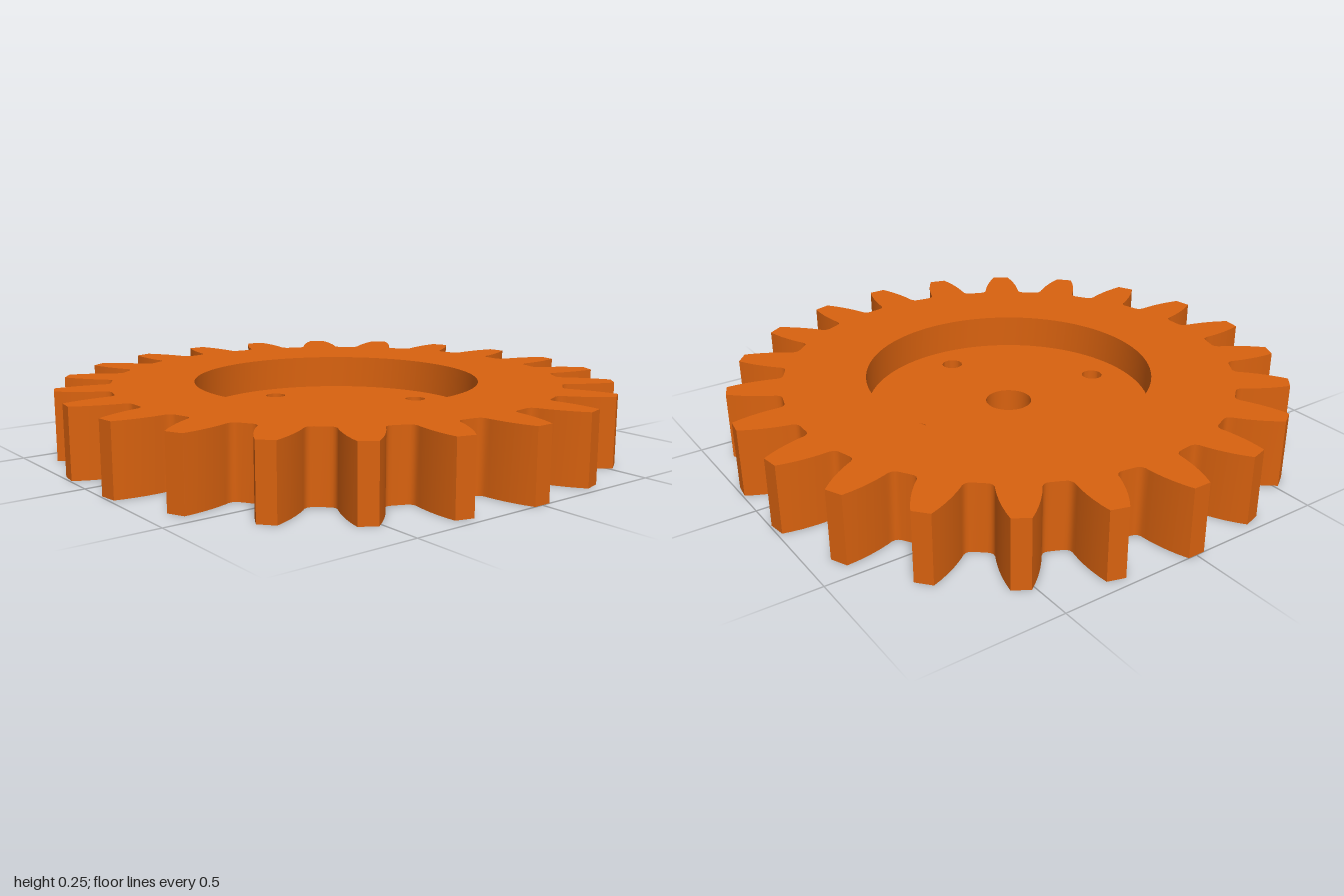
import * as THREE from 'three';
import { mergeGeometries, toCreasedNormals } from 'three/addons/utils/BufferGeometryUtils.js';

const TEETH = 22, HEIGHT = 0.245, FLOOR = 0.123;
const POCKET_R = 0.515, BORE_R = 0.083, BOLT_R = 0.038, BOLT_CIRCLE = 0.392;

// Half a tooth from root to tip: [half width, distance from the axis]
const FLANK = [
  [0.094, 0.806], [0.083, 0.809], [0.075, 0.816], [0.070, 0.828], [0.069, 0.845],
  [0.066, 0.87], [0.061, 0.90], [0.053, 0.935], [0.043, 0.968], [0.031, 1.0],
];

function gearOutline() {
  const tooth = [
    ...FLANK.map(([w, r]) => [-w, r]),
    ...FLANK.slice().reverse(),
  ];
  const points = [];
  for (let i = 0; i < TEETH; i++) {
    const a = Math.PI / 2 + (i / TEETH) * Math.PI * 2;
    const c = Math.cos(a), s = Math.sin(a);
    for (const [w, r] of tooth) points.push(new THREE.Vector2(r * c - w * s, r * s + w * c));
  }
  return points;
}

function circle(radius, segments, cx = 0, cy = 0) {
  return Array.from({ length: segments }, (_, i) => {
    const a = (i / segments) * Math.PI * 2;
    return new THREE.Vector2(cx + radius * Math.cos(a), cy + radius * Math.sin(a));
  });
}

// Flat horizontal face with holes, facing up or down
function cap(outline, holes, y, up) {
  const shape = new THREE.Shape(outline);
  shape.holes = holes.map((h) => new THREE.Path(h));
  return new THREE.ShapeGeometry(shape)
    .rotateX(up ? -Math.PI / 2 : Math.PI / 2)
    .translate(0, y, 0);
}

// Upright wall along a closed outline; inward walls face the axis of their hole
function wall(outline, y0, y1, inward = false) {
  const pts = inward ? outline.slice().reverse() : outline;
  const pos = [];
  pts.forEach((a, i) => {
    const b = pts[(i + 1) % pts.length];
    pos.push(a.x, y0, -a.y, b.x, y0, -b.y, b.x, y1, -b.y);
    pos.push(a.x, y0, -a.y, b.x, y1, -b.y, a.x, y1, -a.y);
  });
  const g = new THREE.BufferGeometry();
  g.setAttribute('position', new THREE.Float32BufferAttribute(pos, 3));
  g.computeVertexNormals();
  return toCreasedNormals(g, 0.7);
}

export function createModel() {
  const group = new THREE.Group();
  group.name = 'spurGear';
  const orange = new THREE.MeshStandardMaterial({ color: 0xd9620f });
  orange.name = 'orange';

  const add = (name, geometry) => {
    const mesh = new THREE.Mesh(geometry, orange);
    mesh.name = name;
    group.add(mesh);
  };

  const gear = gearOutline();
  const pocket = circle(POCKET_R, 96);
  const bore = circle(BORE_R, 48);
  const bolts = [0, 1, 2, 3].map((i) => {
    const a = (i * Math.PI) / 2;
    return circle(BOLT_R, 32, BOLT_CIRCLE * Math.cos(a), BOLT_CIRCLE * Math.sin(a));
  });
  const holes = [bore, ...bolts];

  // Toothed rim, recessed web and underside
  add('teeth', wall(gear, 0, HEIGHT));
  add('rimTop', cap(gear, [pocket], HEIGHT, true));
  add('pocketWall', wall(pocket, FLOOR, HEIGHT, true));
  add('pocketFloor', cap(pocket, holes, FLOOR, true));
  add('underside', cap(gear, holes, 0, false));

  // Centre bore and bolt holes through the web
  add('bore', wall(bore, 0, FLOOR, true));
  add('boltHoles', mergeGeometries(bolts.map((b) => wall(b, 0, FLOOR, true))));
  return group;
}
